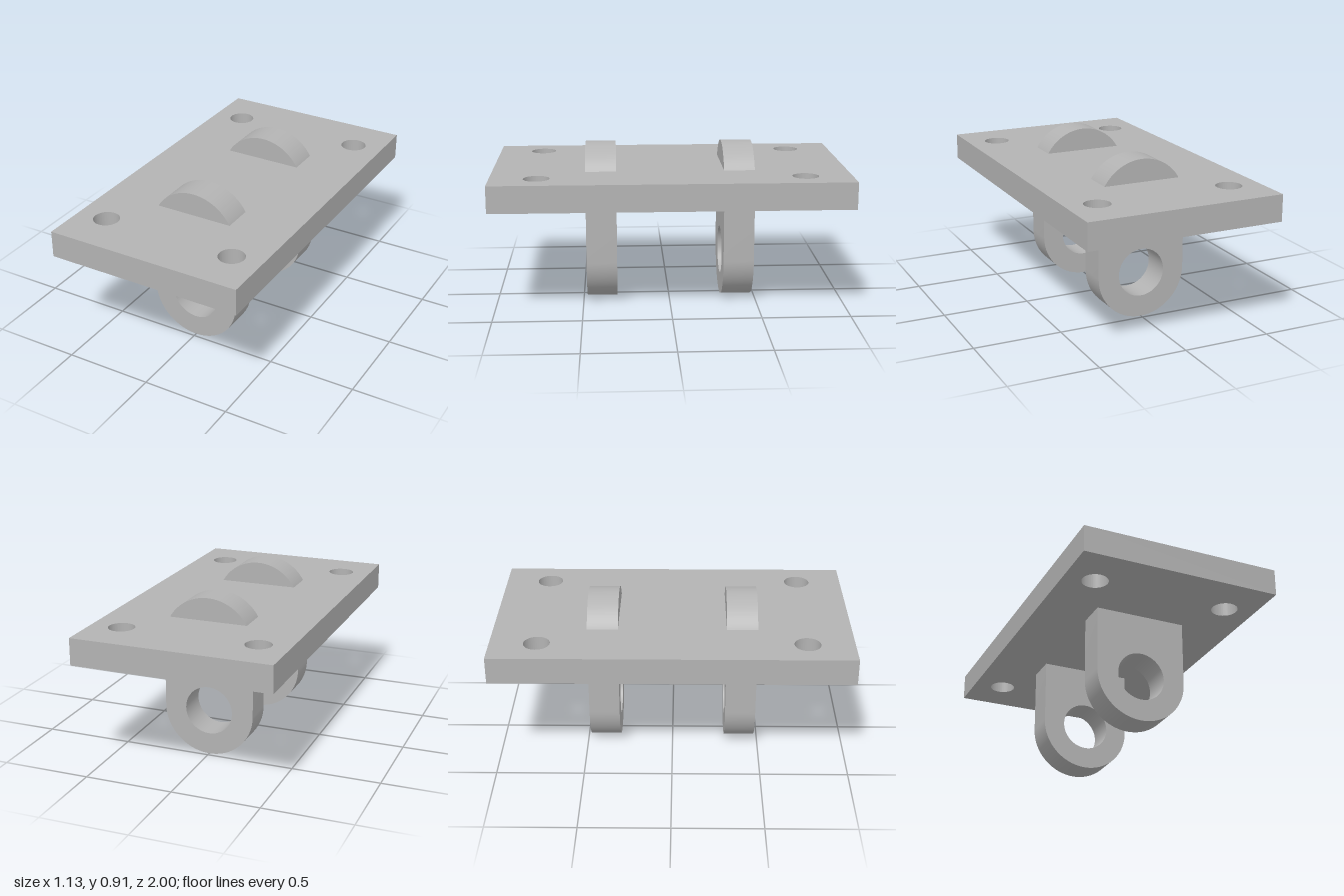
import * as THREE from 'three';
import { toCreasedNormals } from 'three/addons/utils/BufferGeometryUtils.js';

const metal = new THREE.MeshStandardMaterial({ color: 0xb3b3b3 });
metal.name = 'grey metal';

// Extrude a shape along z, with smooth curved walls and sharp edges
function extrude(shape, depth) {
  const geometry = new THREE.ExtrudeGeometry(shape, { depth, bevelEnabled: false, curveSegments: 40 });
  return toCreasedNormals(geometry, 0.6);
}

function addHole(shape, x, y, radius) {
  const hole = new THREE.Path();
  hole.absarc(x, y, radius, 0, Math.PI * 2, true);
  shape.holes.push(hole);
}

function addMesh(group, name, geometry) {
  const mesh = new THREE.Mesh(geometry, metal);
  mesh.name = name;
  group.add(mesh);
  return mesh;
}

export function createModel() {
  const group = new THREE.Group();
  group.name = 'mountingBracket';

  // Flat plate with a bolt hole near each corner
  const w = 0.564;
  const plate = new THREE.Shape();
  plate.moveTo(-w, -1);
  plate.lineTo(w, -1);
  plate.lineTo(w, 1);
  plate.lineTo(-w, 1);
  plate.closePath();
  for (const x of [-0.39, 0.39]) {
    for (const z of [-0.74, 0.74]) addHole(plate, x, z, 0.073);
  }
  const plateGeometry = extrude(plate, 0.152).rotateX(-Math.PI / 2);
  addMesh(group, 'mountingPlate', plateGeometry).position.y = 0.632;

  // Two round-ended lugs passing through the plate, each with a pin hole
  const r = 0.261;
  const lug = new THREE.Shape();
  lug.absarc(0, r, r, Math.PI, Math.PI * 2, false);
  lug.absarc(0, 0.653, r, 0, Math.PI, false);
  lug.closePath();
  addHole(lug, 0, r, 0.138);
  const lugGeometry = extrude(lug, 0.174).translate(0, 0, -0.087);
  addMesh(group, 'frontLug', lugGeometry).position.z = 0.391;
  addMesh(group, 'backLug', lugGeometry).position.z = -0.391;

  return group;
}
